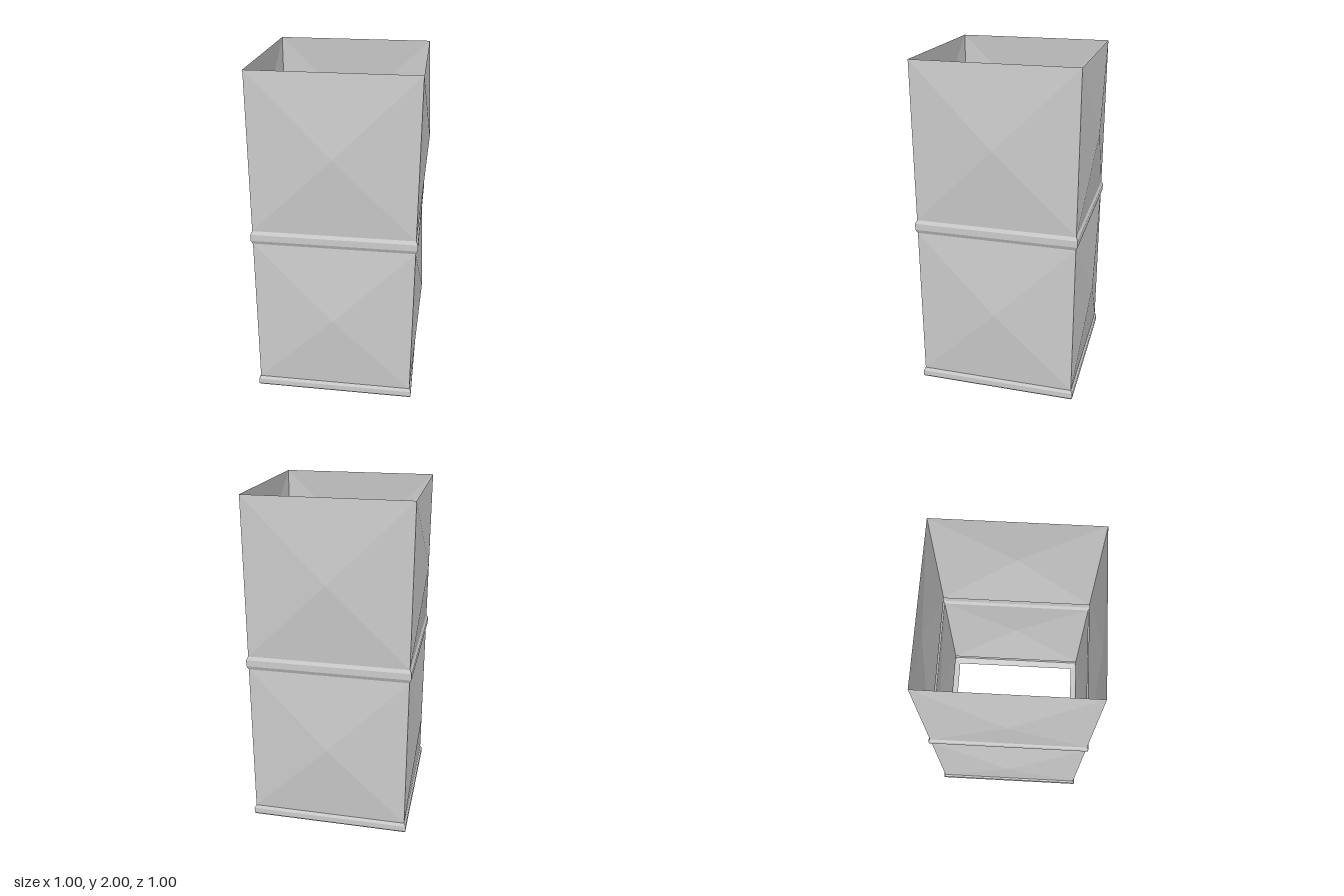
import * as THREE from 'three';

const HALF = 0.465;   // half width of the duct at its corners
const BULGE = 0.037;  // how far each panel's centre stands out

const material = new THREE.MeshStandardMaterial({
  color: 0xcccccc, flatShading: true, side: THREE.DoubleSide,
});

function faceted(geometry) {
  const flat = geometry.toNonIndexed();
  flat.computeVertexNormals();
  return flat;
}

// Square ring swept from a profile of [half width, height] points
function squareRing(name, profile) {
  const points = profile.map(([w, y]) => new THREE.Vector2(w * Math.SQRT2, y));
  const geometry = new THREE.LatheGeometry(points, 4).rotateY(Math.PI / 4);
  const mesh = new THREE.Mesh(faceted(geometry), material);
  mesh.name = name;
  return mesh;
}

// Four shallow pyramid panels forming one section of duct
function ductSection(name, bottom, top) {
  const section = new THREE.Group();
  section.name = name;
  const geometry = new THREE.ConeGeometry(HALF * Math.SQRT2, BULGE, 4, 1, true)
    .rotateY(Math.PI / 4)
    .rotateX(Math.PI / 2)
    .scale(1, (top - bottom) / (2 * HALF), 1)
    .translate(0, (top + bottom) / 2, HALF + BULGE / 2);
  const panel = faceted(geometry);
  ['frontPanel', 'leftPanel', 'backPanel', 'rightPanel'].forEach((side, i) => {
    const mesh = new THREE.Mesh(panel, material);
    mesh.name = side;
    mesh.rotation.y = i * Math.PI / 2;
    section.add(mesh);
  });
  return section;
}

export function createModel() {
  const duct = new THREE.Group();
  duct.name = 'squareDuct';

  // Panelled walls
  duct.add(ductSection('lowerSection', 0.07, 1.0));
  duct.add(ductSection('upperSection', 1.08, 2.0));

  // Bottom bead with a lip turned inwards
  duct.add(squareRing('bottomBead', [
    [0.433, 0], [0.467, 0.008], [0.475, 0.018], [0.475, 0.052], [HALF, 0.07],
  ]));

  // Bead joining the two sections
  duct.add(squareRing('middleBead', [
    [HALF, 1.0], [0.475, 1.022], [0.475, 1.06], [HALF, 1.08],
  ]));

  return duct;
}
